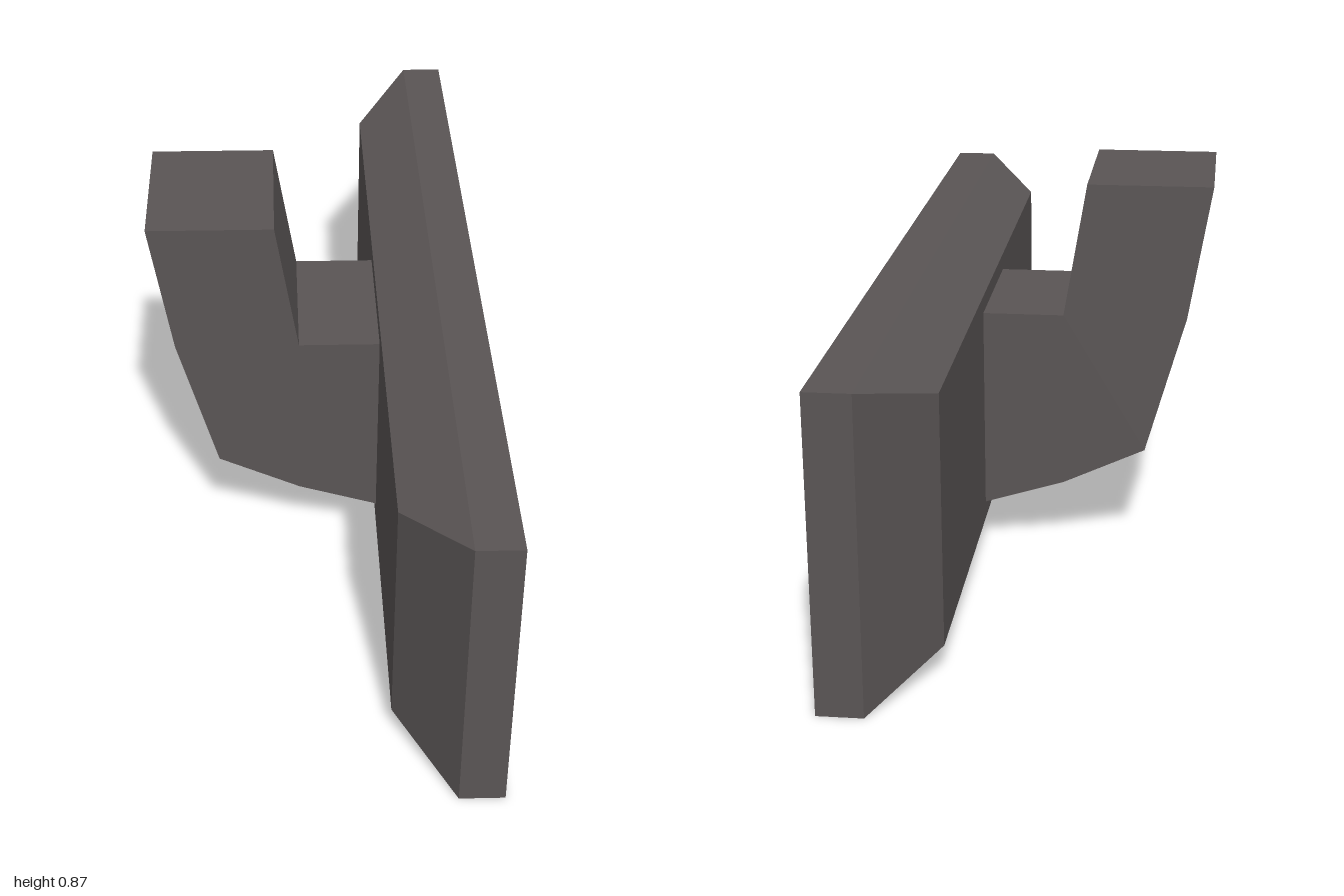
import * as THREE from 'three';

export function createModel() {
  const model = new THREE.Group();
  const dark = new THREE.MeshStandardMaterial({ color: 0x5a5555, flatShading: true });
  const silver = new THREE.MeshStandardMaterial({ color: 0x9c9c9c, flatShading: true });

  const add = (name, geometry, material) => {
    const mesh = new THREE.Mesh(geometry, material);
    mesh.name = name;
    model.add(mesh);
    return mesh;
  };

  // Housing: a box of two slabs, the back one tapering to a smaller rear face
  const sections = [
    { x: 0.143, y: 0.27, z: 0.81 },
    { x: 0.271, y: 0.3335, z: 1 },
    { x: 0.367, y: 0.3335, z: 1 },
  ];
  const housing = new THREE.BoxGeometry(2, 2, 2, 2, 1, 1);
  const p = housing.attributes.position;
  for (let i = 0; i < p.count; i++) {
    const s = sections[Math.round(p.getX(i)) + 1];
    p.setXYZ(i, s.x, 0.3335 + p.getY(i) * s.y, p.getZ(i) * s.z);
  }
  const flatHousing = housing.toNonIndexed();
  flatHousing.computeVertexNormals();
  add('mirrorHousing', flatHousing, dark);

  // Mirror glass, flush with the housing face
  const glass = add('mirrorGlass', new THREE.PlaneGeometry(1.89, 0.567), silver);
  glass.rotation.y = Math.PI / 2;
  glass.position.set(0.3685, 0.3335, 0);

  // Mounting arm: bent profile extruded across the width
  const profile = [
    [-0.367, 0.867], [-0.315, 0.565], [-0.225, 0.247], [-0.038, 0.16],
    [0.143, 0.104], [0.143, 0.565], [-0.038, 0.565], [-0.09, 0.867],
  ];
  const shape = new THREE.Shape(profile.map(([x, y]) => new THREE.Vector2(x, y)));
  const arm = new THREE.ExtrudeGeometry(shape, { depth: 0.356, bevelEnabled: false });
  arm.translate(0, 0, -0.178);
  add('mountingArm', arm, dark);

  return model;
}
